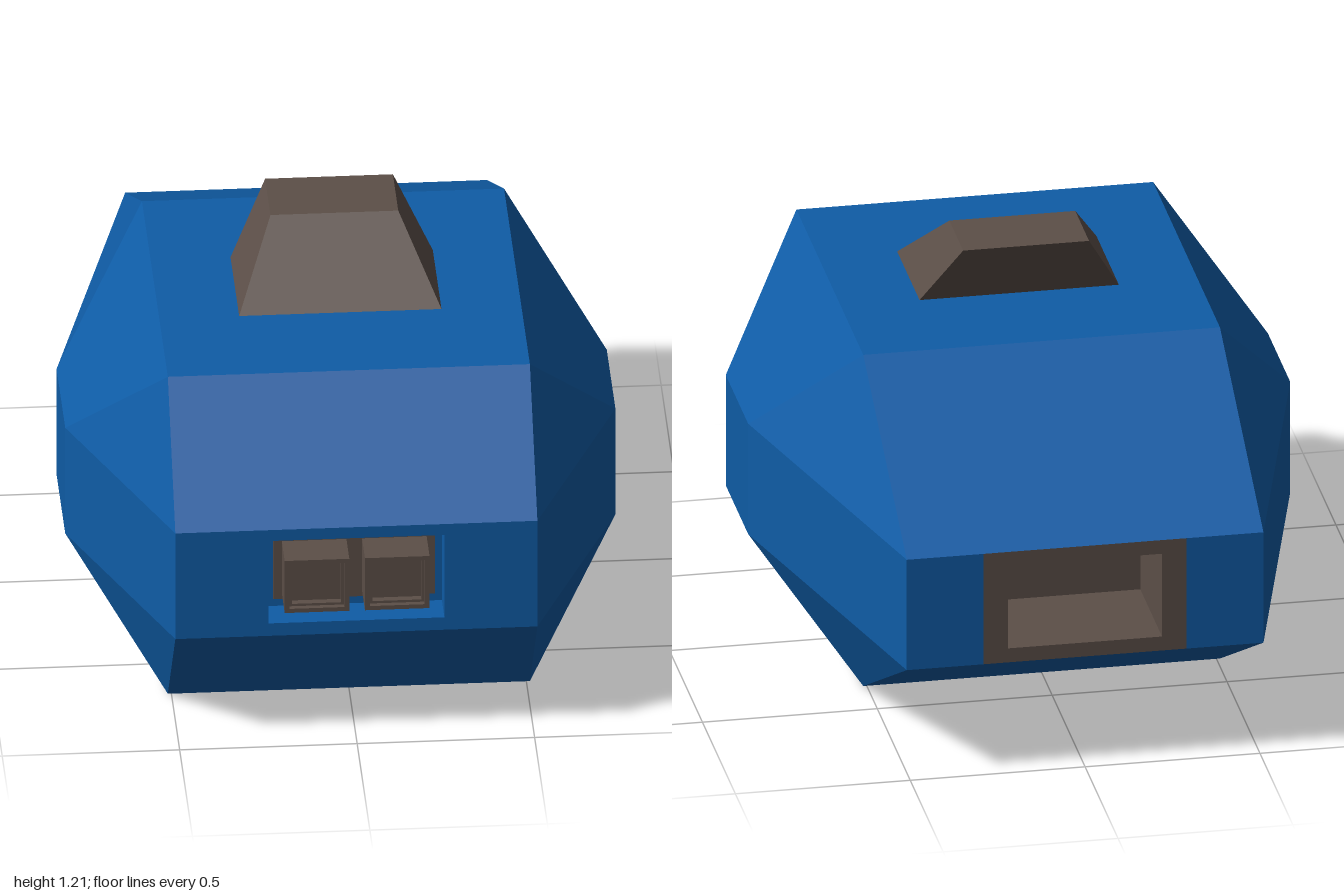
import * as THREE from 'three';

const blue = new THREE.MeshStandardMaterial({ color: 0x0f5ca6 });
blue.name = 'hull blue';
const brown = new THREE.MeshStandardMaterial({ color: 0x5c4f48 });
brown.name = 'dark brown';

// Four-cornered loop, centred on x, running from a to b where a and b are [z, y]
const band = (x, a, b) => [[-x, a], [x, a], [x, b], [-x, b]].map(([px, [z, y]]) => new THREE.Vector3(px, y, z));

// Adds a flat polygon as a triangle fan, skipping slivers
function face(out, loop) {
  for (let i = 1; i < loop.length - 1; i++) {
    const tri = [loop[0], loop[i], loop[i + 1]];
    if (new THREE.Triangle(...tri).getArea() > 1e-7) tri.forEach((p) => out.push(p.x, p.y, p.z));
  }
}

// Joins successive loops with quads, and optionally closes the last one
function loft(out, loops, cap = true) {
  for (let k = 0; k < loops.length - 1; k++) {
    const a = loops[k], b = loops[k + 1];
    a.forEach((p, i) => {
      const j = (i + 1) % a.length;
      face(out, [p, a[j], b[j], b[i]]);
    });
  }
  if (cap) face(out, loops[loops.length - 1]);
}

function part(name, material, build) {
  const out = [];
  build(out);
  const geo = new THREE.BufferGeometry();
  geo.setAttribute('position', new THREE.Float32BufferAttribute(out, 3));
  geo.computeVertexNormals();
  const mesh = new THREE.Mesh(geo, material);
  mesh.name = name;
  return mesh;
}

export function createModel() {
  const model = new THREE.Group();
  model.name = 'fuselage block';

  // Side outline of the hull and the small flat panel on each flank, as [z, y]
  const W = 0.51;
  const outline = [[0.675, 0], [0.97, 0.34], [0.97, 0.68], [0.675, 1.02], [-0.34, 1.02], [-1, 0.68], [-1, 0.34], [-0.34, 0]];
  const flank = [[0.34, 0.34], [0.34, 0.68], [0, 0.68], [0, 0.34]];
  const backPanel = band(0.29, [-1, 0.68], [-1, 0.34]);

  model.add(part('hull', blue, (out) => {
    // Openings: loops that follow the outline's own strip
    const openings = {
      1: [band(0.248, [0.97, 0.38], [0.97, 0.645]), band(0.248, [0.87, 0.38], [0.87, 0.645])],
      5: [backPanel],
      7: [band(0.285, [0, 0], [0.34, 0]), band(0.285, [0, 0.07], [0.34, 0.07])],
    };
    outline.forEach((p, i) => {
      const strip = band(W, p, outline[(i + 1) % 8]);
      loft(out, [strip, ...(openings[i] || [])], i !== 5);
    });
    // Bevelled flanks
    for (const s of [-1, 1]) {
      const edge = outline.map(([z, y]) => new THREE.Vector3(s * W, y, z));
      const panel = outline.map((_, i) => new THREE.Vector3(s * 0.775, flank[i >> 1][1], flank[i >> 1][0]));
      if (s > 0) { edge.reverse(); panel.reverse(); }
      loft(out, [edge, panel], false);
      face(out, panel.filter((_, i) => i % 2 === 0));
    }
  }));

  // Rear frame with its deep socket
  model.add(part('rearSocket', brown, (out) => loft(out, [
    backPanel,
    band(0.22, [-1, 0.638], [-1, 0.383]),
    band(0.22, [-0.67, 0.638], [-0.67, 0.383]),
  ])));

  // Swept-back fin block on the roof
  model.add(part('roofFin', brown, (out) => loft(out, [
    band(0.285, [0.34, 1.02], [0, 1.02]),
    band(0.18, [0.105, 1.21], [-0.105, 1.21]),
  ])));

  // Plate at the bottom of the front recess
  model.add(part('nozzlePlate', brown, (out) => loft(out, [
    band(0.228, [0.87, 0.41], [0.87, 0.615]),
    band(0.228, [0.885, 0.41], [0.885, 0.615]),
  ])));

  // Pair of square nozzles with stepped mouths: [half width, z]
  const steps = [[0.091, 0.88], [0.091, 1], [0.077, 1], [0.077, 0.985], [0.069, 0.985], [0.069, 0.965]];
  for (const s of [-1, 1]) {
    const nozzle = part(s > 0 ? 'leftNozzle' : 'rightNozzle', brown, (out) =>
      loft(out, steps.map(([h, z]) => band(h, [z, 0.512 - h * 0.92], [z, 0.512 + h * 0.92]))));
    nozzle.position.x = s * 0.113;
    model.add(nozzle);
  }

  return model;
}
